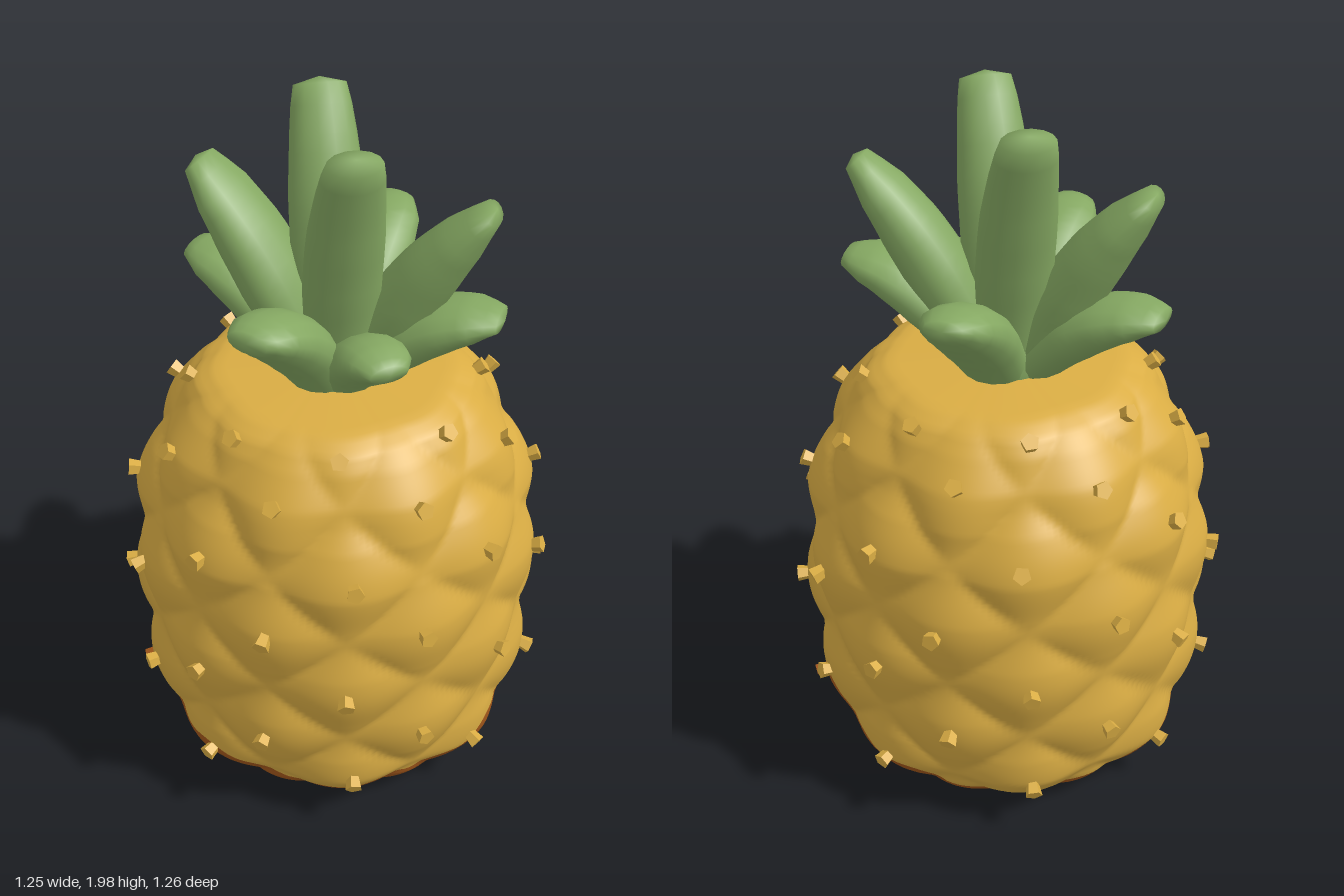
import * as THREE from 'three';
import { mergeVertices } from 'three/addons/utils/BufferGeometryUtils.js';

const gold = new THREE.MeshStandardMaterial({ name: 'goldenRind', color: 0xdaad44 });
const brown = new THREE.MeshStandardMaterial({ name: 'brownBase', color: 0xa4581b });
const green = new THREE.MeshStandardMaterial({ name: 'leafGreen', color: 0x85a862 });

// Piecewise-linear lookup through [key, value] pairs
function lookup(table, k) {
  for (let i = 1; i < table.length; i++) {
    const [k0, v0] = table[i - 1], [k1, v1] = table[i];
    if (k <= k1) return v0 + (v1 - v0) * Math.max(0, (k - k0) / (k1 - k0));
  }
  return table[table.length - 1][1];
}

// Smooth closed-around surface from fn(u, v) -> Vector3, u wrapping once
function surface(fn, nu, nv) {
  const pos = [], idx = [];
  for (let j = 0; j <= nv; j++) {
    for (let i = 0; i < nu; i++) pos.push(...fn(i / nu, j / nv).toArray());
  }
  for (let j = 0; j < nv; j++) {
    for (let i = 0; i < nu; i++) {
      const n = (i + 1) % nu, a = j * nu + i, b = j * nu + n;
      idx.push(a, b, b + nu, a, b + nu, a + nu);
    }
  }
  let geo = new THREE.BufferGeometry();
  geo.setAttribute('position', new THREE.Float32BufferAttribute(pos, 3));
  geo.setIndex(idx);
  geo = mergeVertices(geo, 1e-5);
  geo.computeVertexNormals();
  return geo;
}

let seed = 7;
const rand = () => (seed = (seed * 16807) % 2147483647) / 2147483647 - 0.5;

// Fruit silhouette: height, radius
const PROFILE = [[0, 0.35], [0.015, 0.42], [0.05, 0.48], [0.1, 0.53], [0.16, 0.56], [0.25, 0.577], [0.4, 0.59],
  [0.6, 0.597], [0.75, 0.59], [0.88, 0.572], [1.0, 0.533], [1.1, 0.483], [1.18, 0.425], [1.22, 0.385], [1.245, 0.33]];
// Groove depth by height
const GROOVE = [[0, 0.02], [0.12, 0.034], [1.05, 0.034], [1.245, 0.012]];
const COUNT = 8, PITCH = 0.375, MID = 0.535, TOP = 1.245;

// Radius with pillowed diamond scales pressed into it
function radius(phi, y) {
  const u = phi * COUNT / (2 * Math.PI), v = (y - MID) / PITCH;
  const fa = u + v - Math.round(u + v), fb = u - v - Math.round(u - v);
  const groove = 1 - (1 - 4 * fa * fa) * (1 - 4 * fb * fb);
  return lookup(PROFILE, y) - lookup(GROOVE, y) * groove;
}
const ring = (phi, r, y) => new THREE.Vector3(Math.sin(phi) * r, y, Math.cos(phi) * r);

// Wavy line between the brown base and the rind
const border = (phi) => 0.168 + 0.075 * Math.sin(2 * phi) + 0.02 * Math.cos(phi + Math.PI / 4)
  + 0.012 * Math.sin(8 * phi + 0.6) + 0.008 * Math.sin(19 * phi);

// Leaf: tip position, half width, half thickness, bend (outward, upward fractions), tip bluntness
function leaf(tip, width, thick, lean, rise, blunt) {
  const end = new THREE.Vector3(...tip);
  const out = new THREE.Vector3(end.x, 0, end.z);
  const reach = out.length();
  out.normalize();
  const side = new THREE.Vector3(out.z, 0, -out.x);
  const start = out.clone().multiplyScalar(0.05).setY(1.2);
  const bend = out.clone().multiplyScalar(reach * lean).setY(1.2 + (end.y - 1.2) * rise);
  const curve = new THREE.QuadraticBezierCurve3(start, bend, end);
  const taper = [[0, 0.75], [0.2, 0.92], [0.45, 1.05], [0.65, 1.03], [0.85, 0.88], [0.96, blunt], [0.99, blunt * 0.88], [1, 0]];
  return surface((u, v) => {
    const t = v < 0.85 ? v : 1 - (1 - v) * (1 - v) / 0.15;
    const normal = curve.getTangent(t).cross(side);
    const s = lookup(taper, t), a = u * Math.PI * 2;
    return curve.getPoint(t)
      .addScaledVector(side, Math.cos(a) * width * s)
      .addScaledVector(normal, Math.sin(a) * thick * s * (1.05 - 0.4 * t * t * t));
  }, 14, 18);
}

export function createModel() {
  const model = new THREE.Group();
  const add = (name, geo, mat, parent = model) => {
    const mesh = new THREE.Mesh(geo, mat);
    mesh.name = name;
    parent.add(mesh);
    return mesh;
  };

  // Rind from the wavy border up, closed over the top
  add('rind', surface((u, v) => {
    const phi = u * Math.PI * 2, b = border(phi);
    if (v <= 0.92) {
      const y = b + (TOP - b) * v / 0.92;
      return ring(phi, radius(phi, y), y);
    }
    const k = (1 - v) / 0.08;
    return ring(phi, radius(phi, TOP) * k, TOP + 0.02 * (1 - k));
  }, 192, 125), gold);

  // Brown base and its flat underside
  add('base', surface((u, v) => {
    const phi = u * Math.PI * 2, y = border(phi) * v;
    return ring(phi, radius(phi, y), y);
  }, 192, 16), brown);
  add('underside', surface((u, v) => {
    const phi = u * Math.PI * 2;
    return ring(phi, radius(phi, 0) * v, 0);
  }, 192, 1), brown);

  // Small flared nub at the middle of each scale, brown where it sits well inside the base
  const nubs = new THREE.Group();
  nubs.name = 'nubs';
  model.add(nubs);
  const up = new THREE.Vector3(0, 1, 0);
  const nubGeo = new THREE.CylinderGeometry(0.025, 0.017, 0.05, 5).toNonIndexed();
  nubGeo.computeVertexNormals();
  for (let row = -2; row <= 4; row++) {
    for (let i = 0; i < COUNT; i++) {
      const phi = (i + (row & 1) / 2 + rand() * 0.12) * 2 * Math.PI / COUNT;
      const y = Math.min(1.21, MID + 0.01 + row * PITCH / 2 + rand() * 0.03);
      const slope = (lookup(PROFILE, y - 0.05) - lookup(PROFILE, y + 0.05)) / 0.1;
      const nub = add('nub', nubGeo, y < border(phi) - 0.04 ? brown : gold, nubs);
      nub.position.copy(ring(phi, radius(phi, y) + 0.004, y));
      nub.quaternion.setFromUnitVectors(up, ring(phi, 1, slope + rand() * 0.8).normalize());
      nub.rotateY(rand() * 6);
    }
  }

  // Crown of leaves: tip, half width, half thickness, lean, rise, bluntness
  const crown = new THREE.Group();
  crown.name = 'crown';
  model.add(crown);
  const core = add('crownCore', new THREE.SphereGeometry(0.15, 20, 12), green, crown);
  core.scale.y = 1.2;
  core.position.y = 1.27;
  const leaves = [
    [[0.15, 1.975, -0.19], 0.1, 0.088, 0.2, 0.5, 0.76],
    [[-0.14, 1.975, 0.19], 0.1, 0.088, 0.2, 0.5, 0.76],
    [[-0.12, 1.79, -0.38], 0.115, 0.085, 0.42, 0.55, 0.6],
    [[0.17, 1.79, 0.38], 0.1, 0.085, 0.42, 0.55, 0.6],
    [[-0.08, 1.48, -0.455], 0.11, 0.07, 0.5, 0.95, 0.58],
    [[0.17, 1.49, 0.43], 0.11, 0.07, 0.5, 0.95, 0.58],
    [[0.42, 1.55, -0.14], 0.105, 0.075, 0.5, 0.82, 0.55],
    [[-0.415, 1.55, 0.08], 0.105, 0.075, 0.5, 0.9, 0.6],
    [[-0.15, 1.43, 0.32], 0.095, 0.065, 0.5, 1.05, 0.6],
  ];
  leaves.forEach((spec) => add('leaf', leaf(...spec), green, crown));

  return model;
}
